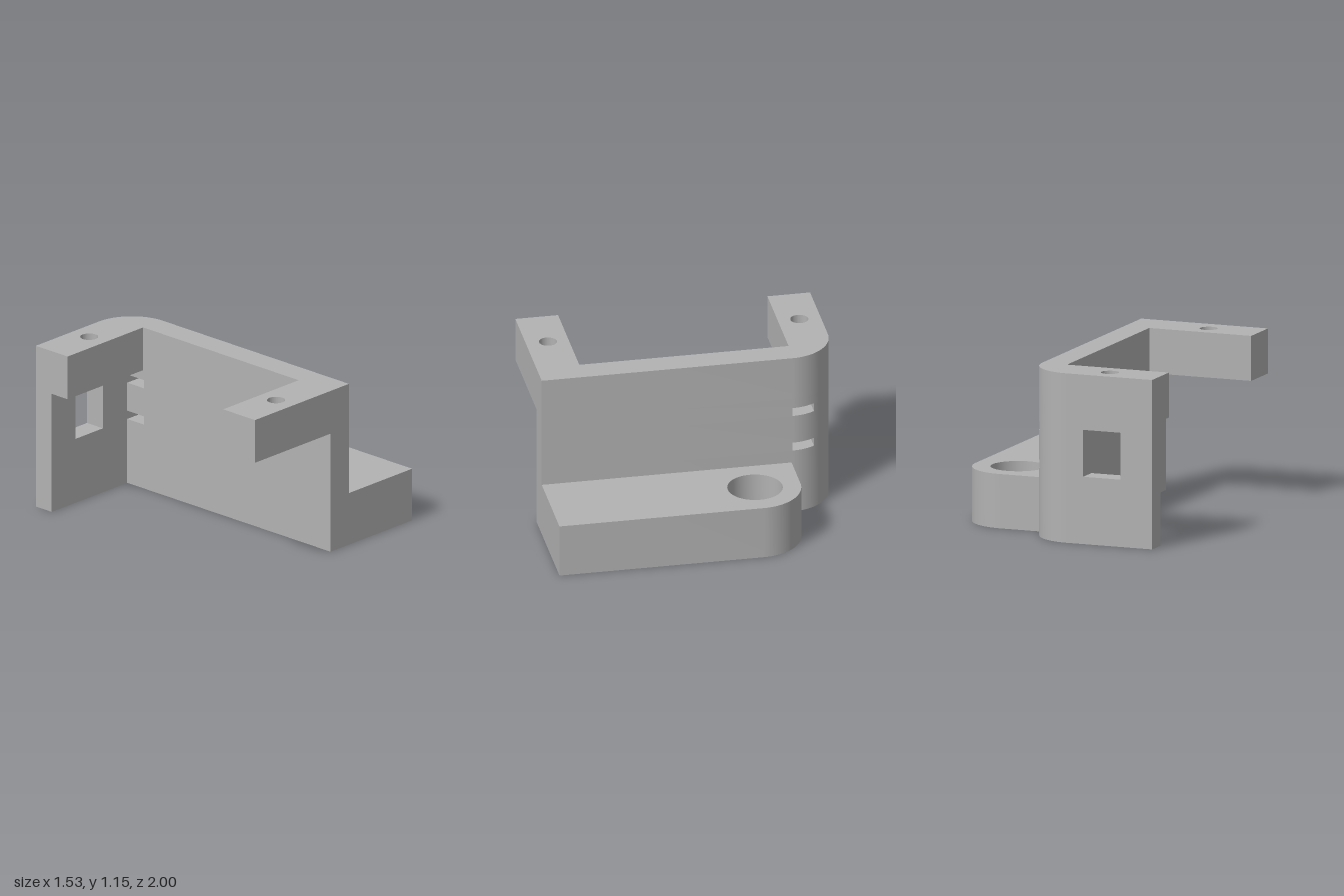
import * as THREE from 'three';
import { toCreasedNormals } from 'three/addons/utils/BufferGeometryUtils.js';

// Plan coordinates: p runs along x, q runs towards the back (-z).
const LEFT = -0.765, INNER = -0.03, OUTER = 0.15, FRONT = -1, BACK = 1;
const PLATE = 0.855;                      // inner face of the thin back plate
const ARM = 0.71;                         // inner face of the thick arms
const CX = -0.15, CQ = 0.7, R = 0.3;      // rounded outer corner of the wall
const WIN_L = -0.536, WIN_R = -0.267;     // window in the back plate
const HOLE_X = -0.4, HOLE_R = 0.06;

const polygon = (pts) => new THREE.Shape(pts.map(([p, q]) => new THREE.Vector2(p, q)));
const rect = (p0, q0, p1, q1) => polygon([[p0, q0], [p1, q0], [p1, q1], [p0, q1]]);

function addHole(shape, p, q, r) {
  const hole = new THREE.Path();
  hole.absarc(p, q, r, 0, Math.PI * 2, true);
  shape.holes.push(hole);
}

// Wall plus back plate, with the plate starting at a given x
function wallShape(plateStart) {
  const s = new THREE.Shape();
  s.moveTo(INNER, FRONT);
  s.lineTo(OUTER, FRONT);
  s.lineTo(OUTER, CQ);
  s.absarc(CX, CQ, R, 0, Math.PI / 2, false);
  s.lineTo(plateStart, BACK);
  s.lineTo(plateStart, PLATE);
  s.lineTo(INNER, PLATE);
  s.closePath();
  return s;
}

// Back plate right of the window, cut off from the wall by a slot
function slottedPlateShape() {
  const a = Math.asin((PLATE - CQ) / R);
  const s = new THREE.Shape();
  s.moveTo(WIN_R, PLATE);
  s.lineTo(CX + R * Math.cos(a), PLATE);
  s.absarc(CX, CQ, R, a, Math.PI / 2, false);
  s.lineTo(WIN_R, BACK);
  s.closePath();
  return s;
}

// Top section: wall with both thick arms and their screw holes
function armShape() {
  const s = new THREE.Shape();
  s.moveTo(LEFT, FRONT);
  s.lineTo(OUTER, FRONT);
  s.lineTo(OUTER, CQ);
  s.absarc(CX, CQ, R, 0, Math.PI / 2, false);
  s.lineTo(LEFT, BACK);
  s.lineTo(LEFT, ARM);
  s.lineTo(INNER, ARM);
  s.lineTo(INNER, -ARM);
  s.lineTo(LEFT, -ARM);
  s.closePath();
  for (const q of [-0.85, PLATE]) addHole(s, HOLE_X, q, HOLE_R);
  return s;
}

// Low foot with one rounded corner and a large concentric hole
function footShape() {
  const s = new THREE.Shape();
  s.moveTo(OUTER, FRONT);
  s.lineTo(0.765, FRONT);
  s.lineTo(0.765, 0.387);
  s.absarc(0.457, 0.387, 0.308, 0, Math.PI / 2, false);
  s.lineTo(OUTER, 0.695);
  s.closePath();
  addHole(s, 0.457, 0.387, 0.185);
  return s;
}

export function createModel() {
  const model = new THREE.Group();
  model.name = 'bracket';
  const grey = new THREE.MeshStandardMaterial({ color: 0xb2b2b2 });
  grey.name = 'grey';

  // Extrude plan shapes upwards between two heights
  function slab(name, shapes, y0, y1) {
    const geo = new THREE.ExtrudeGeometry(shapes, { depth: y1 - y0, bevelEnabled: false, curveSegments: 32 });
    geo.rotateX(-Math.PI / 2);
    geo.translate(0, y0, 0);
    const mesh = new THREE.Mesh(toCreasedNormals(geo, 0.5), grey);
    mesh.name = name;
    model.add(mesh);
  }

  const jamb = () => rect(LEFT, PLATE, WIN_L, BACK);
  const slotted = () => [rect(INNER, FRONT, OUTER, CQ), slottedPlateShape(), jamb()];

  slab('foot', [footShape()], 0, 0.368);
  slab('lowerWall', [wallShape(LEFT)], 0, 0.456);
  slab('lowerSlotWall', slotted(), 0.456, 0.515);
  slab('windowWall', [wallShape(WIN_R), jamb()], 0.515, 0.715);
  slab('upperSlotWall', slotted(), 0.715, 0.774);
  slab('upperWall', [wallShape(LEFT)], 0.774, 0.843);
  slab('topArms', [armShape()], 0.843, 1.148);
  return model;
}
